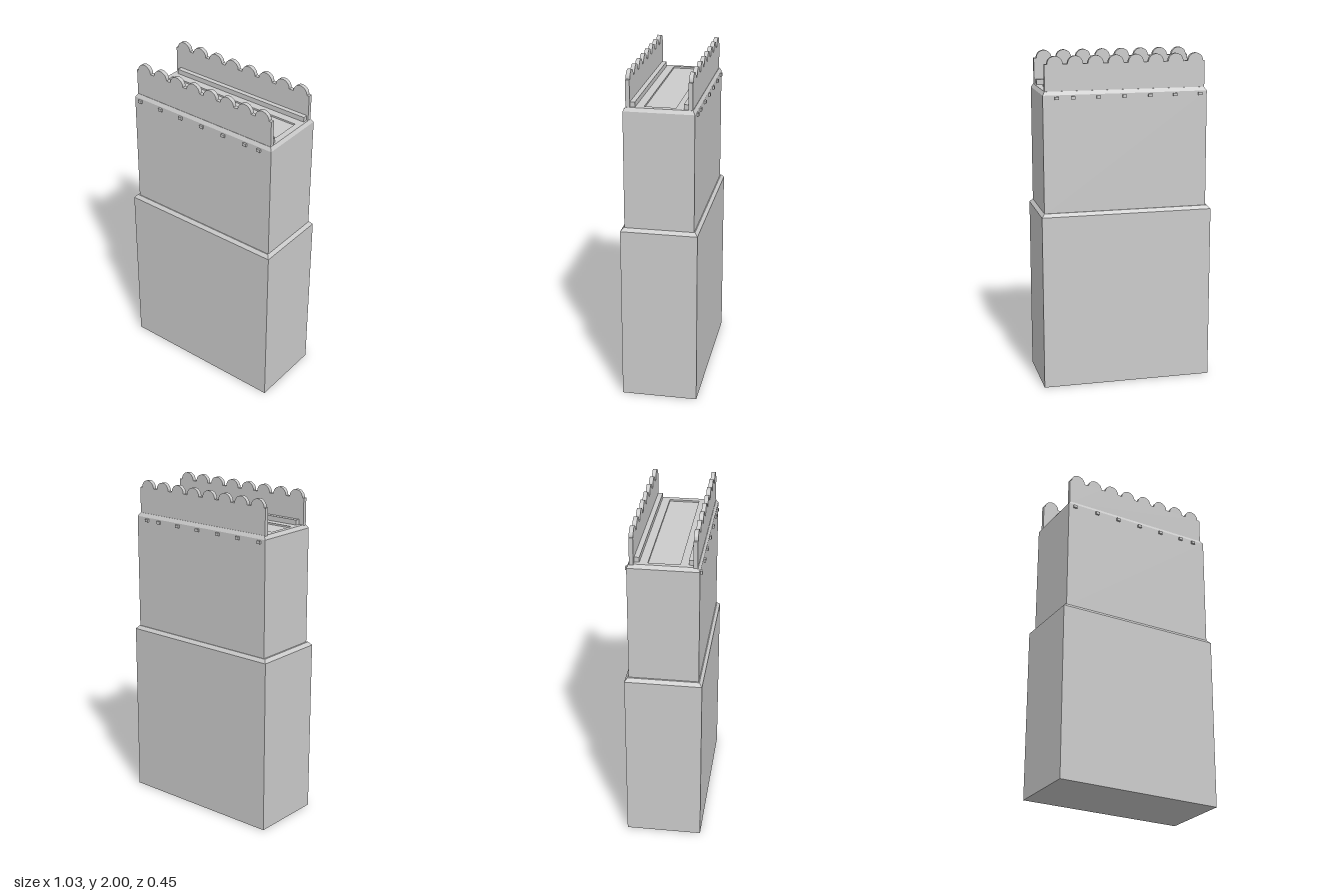
import * as THREE from 'three';

const material = new THREE.MeshStandardMaterial({ color: 0xcccccc });

function add(parent, name, geometry, x = 0, y = 0, z = 0) {
  const mesh = new THREE.Mesh(geometry, material);
  mesh.name = name;
  mesh.position.set(x, y, z);
  parent.add(mesh);
  return mesh;
}

// Closed block lofted through rectangular rings [left, right, half depth, height]
function loft(rings) {
  const points = [], index = [];
  for (const [x0, x1, z, y] of rings) {
    points.push(x0, y, z, x1, y, z, x1, y, -z, x0, y, -z);
  }
  for (let r = 0; r < rings.length - 1; r++) {
    for (let i = 0; i < 4; i++) {
      const a = r * 4 + i, b = r * 4 + (i + 1) % 4;
      index.push(a, b, b + 4, a, b + 4, a + 4);
    }
  }
  const t = (rings.length - 1) * 4;
  index.push(t, t + 1, t + 2, t, t + 2, t + 3, 0, 2, 1, 0, 3, 2);
  const indexed = new THREE.BufferGeometry();
  indexed.setAttribute('position', new THREE.Float32BufferAttribute(points, 3));
  indexed.setIndex(index);
  const geometry = indexed.toNonIndexed();
  geometry.computeVertexNormals();
  return geometry;
}

// Parapet panel with a row of round-topped lobes
function parapetGeometry() {
  const left = -0.475, right = 0.485, bottom = 1.79, shoulder = 1.954;
  const count = 8, first = -0.419, pitch = 0.1203, radius = 0.046;
  const shape = new THREE.Shape();
  shape.moveTo(left, bottom);
  shape.lineTo(right, bottom);
  shape.lineTo(right, shoulder);
  for (let i = count - 1; i >= 0; i--) {
    const x = first + i * pitch;
    shape.lineTo(x + radius, shoulder);
    shape.absarc(x, shoulder, radius, 0, Math.PI, false);
  }
  shape.lineTo(left, shoulder);
  shape.closePath();
  return new THREE.ExtrudeGeometry(shape, { depth: 0.024, bevelEnabled: false, curveSegments: 10 });
}

export function createModel() {
  const model = new THREE.Group();
  model.name = 'steppedTower';

  // Wide lower block with a sloped shoulder
  add(model, 'lowerBlock', loft([
    [-0.517, 0.517, 0.226, 0],
    [-0.517, 0.517, 0.226, 1.06],
    [-0.499, 0.499, 0.209, 1.08],
  ]));

  // Narrower upper block with a bevelled rim and a shallow roof recess
  add(model, 'upperBlock', loft([
    [-0.489, 0.499, 0.204, 1.07],
    [-0.487, 0.499, 0.204, 1.777],
    [-0.472, 0.486, 0.192, 1.798],
    [-0.445, 0.45, 0.09, 1.798],
    [-0.445, 0.45, 0.09, 1.788],
  ]));

  // Parapets, inner ledges and small pegs on both long sides
  const wall = parapetGeometry();
  const ledge = new THREE.BoxGeometry(0.92, 0.035, 0.035);
  const peg = new THREE.BoxGeometry(0.024, 0.018, 0.02);
  const pegPositions = [-0.445, -0.29, -0.14, 0.015, 0.17, 0.322, 0.418];
  for (const side of [1, -1]) {
    const group = new THREE.Group();
    group.name = side > 0 ? 'frontParapet' : 'backParapet';
    add(group, 'scallopedWall', wall, 0, 0, side > 0 ? 0.166 : -0.19);
    add(group, 'innerLedge', ledge, 0.015, 1.81, side * 0.155);
    for (const x of pegPositions) add(group, 'peg', peg, x, 1.76, side * 0.205);
    model.add(group);
  }
  return model;
}
